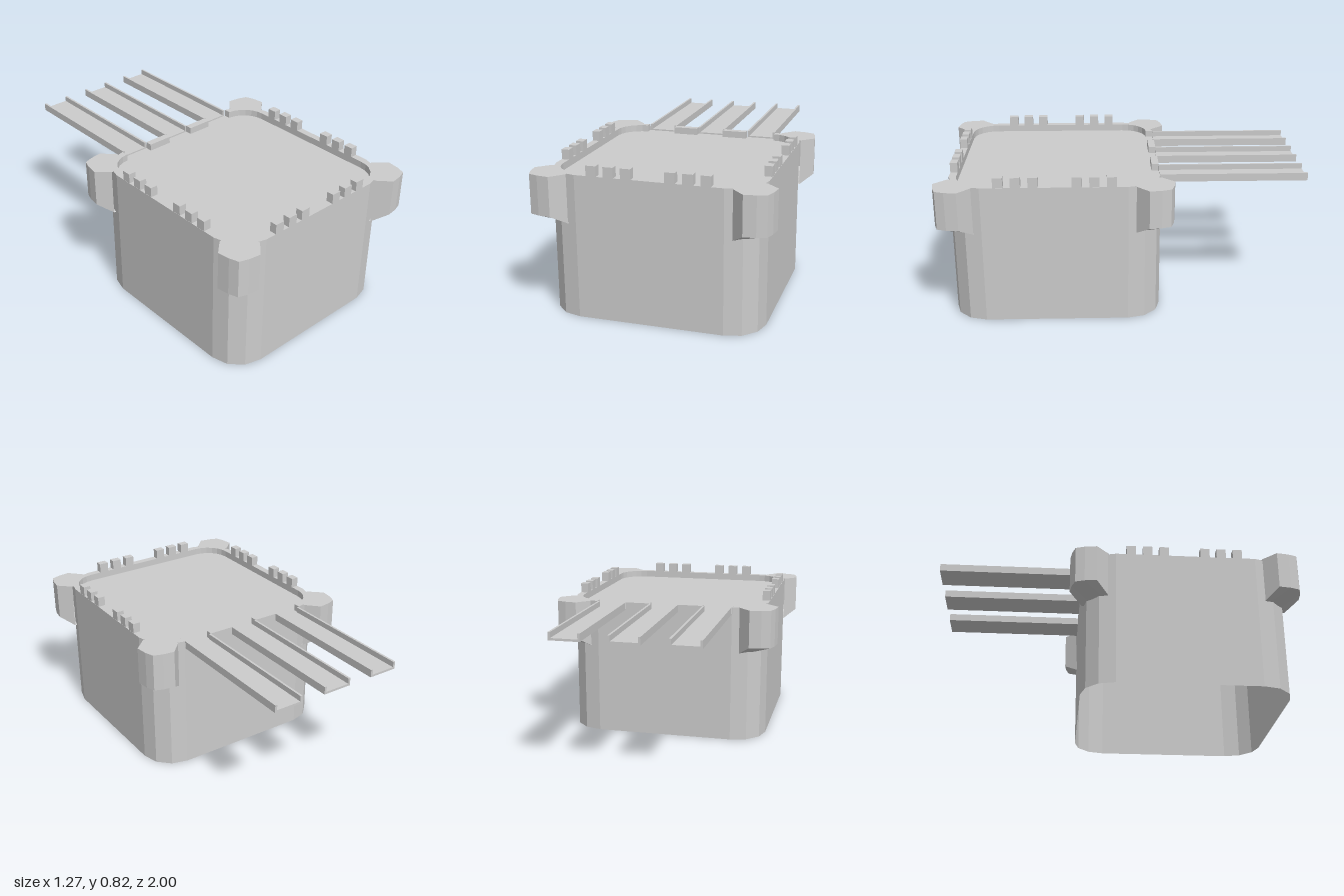
import * as THREE from 'three';

const TOP = 0.77, DECK = 0.732;           // rim height and deck height
const CZ = 0.3625, HALF = 0.567, R = 0.18; // body centre, half width, corner radius
const INNER = 0.527, INNER_R = 0.14;
const BACK_GAP = 0.39;                     // half width of the opening in the back rim

export function createModel() {
  const model = new THREE.Group();
  const mat = new THREE.MeshStandardMaterial({ color: 0xcccccc, flatShading: true, side: THREE.DoubleSide });

  const add = (name, geometry, parent = model) => {
    const mesh = new THREE.Mesh(geometry, mat);
    mesh.name = name;
    parent.add(mesh);
    return mesh;
  };
  const box = (name, x0, x1, y0, y1, z0, z1, parent) =>
    add(name, new THREE.BoxGeometry(x1 - x0, y1 - y0, z1 - z0), parent)
      .position.set((x0 + x1) / 2, (y0 + y1) / 2, (z0 + z1) / 2);
  const group = (name) => {
    const g = new THREE.Group();
    g.name = name;
    model.add(g);
    return g;
  };

  // Rounded square in plan (x, z), running from the back edge round to the back edge
  const outline = (half, r, segs) => {
    const pts = [];
    [[1, -1], [1, 1], [-1, 1], [-1, -1]].forEach(([sx, sz], k) => {
      for (let i = 0; i <= segs; i++) {
        const a = (k - 1 + i / segs) * Math.PI / 2;
        pts.push(new THREE.Vector2(sx * (half - r) + r * Math.cos(a), CZ + sz * (half - r) + r * Math.sin(a)));
      }
    });
    return pts;
  };

  // Surface through rows of [x, y, z] points
  const loft = (rows) => {
    const n = rows[0].length, index = [];
    for (let j = 0; j < rows.length - 1; j++) {
      for (let i = 0; i < n - 1; i++) {
        const a = j * n + i, b = a + n;
        index.push(a, b, a + 1, a + 1, b, b + 1);
      }
    }
    const g = new THREE.BufferGeometry();
    g.setAttribute('position', new THREE.Float32BufferAttribute(rows.flat(2), 3));
    g.setIndex(index);
    g.computeVertexNormals();
    return g;
  };

  // Hollow body, open underneath
  const outer = outline(HALF, R, 3);
  const ring = [...outer, outer[0]];
  add('bodyWall', loft([DECK, 0].map((y) => ring.map((p) => [p.x, y, p.y]))));

  // Deck plate
  const deck = new THREE.ShapeGeometry(new THREE.Shape(outer));
  deck.rotateX(Math.PI / 2);
  deck.translate(0, DECK, 0);
  add('deck', deck);

  // Raised rim, open at the back where the walkways join
  const gapEnds = (half, s) => new THREE.Vector2(s * BACK_GAP, CZ - half);
  const rimShape = new THREE.Shape([
    gapEnds(HALF, 1), ...outer, gapEnds(HALF, -1),
    gapEnds(INNER, -1), ...outline(INNER, INNER_R, 6).reverse(), gapEnds(INNER, 1),
  ]);
  const rim = new THREE.ExtrudeGeometry(rimShape, { depth: TOP - DECK, bevelEnabled: false });
  rim.rotateX(Math.PI / 2);
  rim.translate(0, TOP, 0);
  add('rim', rim);
  for (const s of [-1, 1]) {
    box('rimBlock', s * 0.15 - 0.07, s * 0.15 + 0.07, DECK, TOP, CZ - HALF, CZ - INNER);
  }

  // Corner turrets with a sloped underside
  const bulge = [[-0.072, 0.069], [-0.007, 0.06], [0.043, 0.043], [0.06, -0.007], [0.069, -0.072]];
  for (const sx of [-1, 1]) {
    for (const sz of [-1, 1]) {
      const place = ([u, v], y) => [sx * (HALF + u), y, CZ + sz * (HALF + v)];
      const inside = [];
      for (let i = 0; i < 7; i++) {
        const a = THREE.MathUtils.degToRad(76 - i * 62 / 6);
        inside.push([0.17 * Math.cos(a) - R, 0.17 * Math.sin(a) - R]);
      }
      const outside = [[-0.137, 0], ...bulge, [0, -0.137]];
      add('cornerTurret', loft([
        inside.map((p) => place(p, 0.51)),
        outside.map((p, i) => place(p, i === 0 || i === 6 ? 0.51 : 0.56)),
        outside.map((p) => place(p, TOP)),
        inside.map((p) => place(p, TOP)),
      ]));
    }
  }

  // Battlements: two sets of three on the front and on each side
  const battlements = group('battlements');
  for (const s of [-1, 1]) {
    for (const k of [-1, 0, 1]) {
      const d = s * 0.205 + k * 0.091;
      box('merlon', d - 0.027, d + 0.027, TOP, 0.824, CZ + INNER, CZ + HALF, battlements);
      for (const side of [-1, 1]) {
        const x = side * 0.545, z = CZ - 0.005 + d;
        box('merlon', x - 0.021, x + 0.021, TOP, 0.824, z - 0.026, z + 0.026, battlements);
      }
    }
  }

  // Three channel-shaped walkways reaching out from the back
  const W = 0.082, LIP = 0.012, FLOOR = 0.012, H = TOP - 0.728;
  const section = new THREE.Shape([
    [-W, 0], [W, 0], [W, H], [W - LIP, H], [W - LIP, FLOOR],
    [LIP - W, FLOOR], [LIP - W, H], [-W, H],
  ].map(([x, y]) => new THREE.Vector2(x, y)));
  for (const x of [-0.303, 0, 0.303]) {
    const length = 1 + CZ - HALF;
    const walkway = add('walkway', new THREE.ExtrudeGeometry(section, { depth: length, bevelEnabled: false }));
    walkway.position.set(x, 0.728, -1);
  }
  return model;
}
